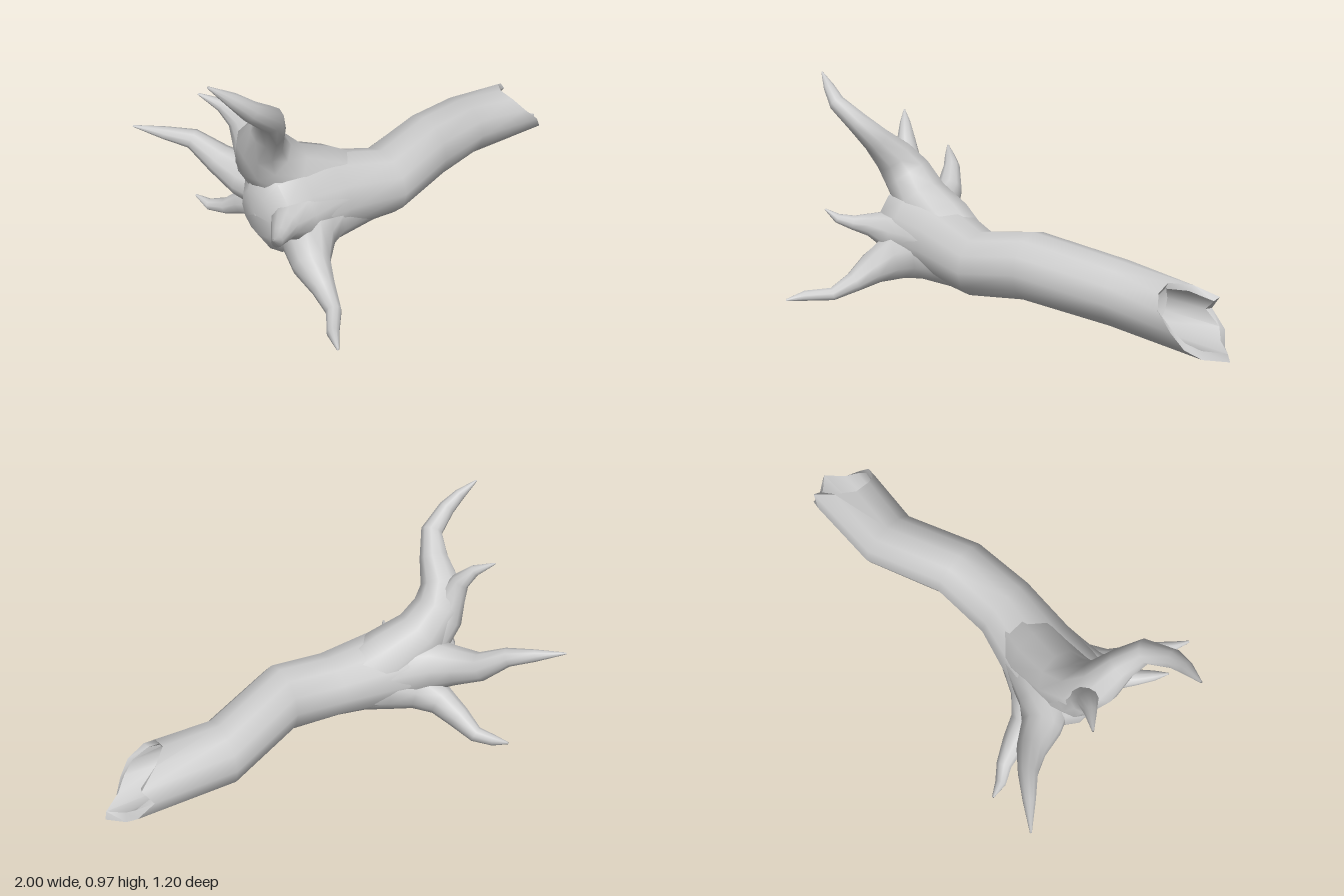
import * as THREE from 'three';
import { toCreasedNormals } from 'three/addons/utils/BufferGeometryUtils.js';

const material = new THREE.MeshStandardMaterial({ color: 0xcccccc, side: THREE.DoubleSide });

// Skin over a list of rings, each with the same number of points
function loft(rings) {
  const n = rings[0].length, index = [];
  for (let i = 0; i < rings.length - 1; i++) {
    for (let k = 0; k < n; k++) {
      const a = i * n + k, b = i * n + (k + 1) % n;
      index.push(a, b, a + n, b, b + n, a + n);
    }
  }
  const geometry = new THREE.BufferGeometry().setFromPoints(rings.flat());
  geometry.setIndex(index);
  geometry.computeVertexNormals();
  return geometry;
}

// Trunk cross-section: x (number or one per side), centre y and z, radii y and z
const SIDES = 12;
function section(x, cy, cz, ry, rz) {
  return Array.from({ length: SIDES }, (_, k) => {
    const a = (k / SIDES) * Math.PI * 2;
    return new THREE.Vector3(Array.isArray(x) ? x[k] : x, cy + ry * Math.cos(a), cz + rz * Math.sin(a));
  });
}

// Tapered root through points [x, y, z, radius], its frame carried along without twist
function rootGeometry(points, sides = 10) {
  const centres = points.map(p => new THREE.Vector3(p[0], p[1], p[2]));
  const u = new THREE.Vector3(0, 1, 0);
  const rings = points.map((p, i) => {
    const next = centres[Math.min(i + 1, centres.length - 1)];
    const t = next.clone().sub(centres[Math.max(i - 1, 0)]).normalize();
    u.addScaledVector(t, -t.dot(u)).normalize();
    const v = t.clone().cross(u);
    return Array.from({ length: sides }, (_, k) => {
      const a = (k / sides) * Math.PI * 2;
      return centres[i].clone()
        .addScaledVector(u, p[3] * Math.cos(a))
        .addScaledVector(v, p[3] * Math.sin(a));
    });
  });
  return loft(rings);
}

export function createModel() {
  const model = new THREE.Group();
  model.name = 'fallenTrunk';
  const add = (name, geometry) => {
    const mesh = new THREE.Mesh(geometry, material);
    mesh.name = name;
    model.add(mesh);
  };

  // Trunk: root face, bent length, splintered rim, then back inside the hollow
  const splinters = [0.72, 0.72, 0.75, 0.82, 0.87, 0.92, 1.0, 0.94, 0.91, 0.84, 0.88, 0.79];
  add('trunk', toCreasedNormals(loft([
    section(-0.75, 0.27, 0, 0.005, 0.005),
    section(-0.74, 0.27, 0, 0.1, 0.1),
    section(-0.69, 0.26, 0, 0.18, 0.16),
    section(-0.58, 0.25, 0, 0.195, 0.18),
    section(-0.42, 0.24, 0.01, 0.18, 0.185),
    section(-0.15, 0.205, 0.075, 0.145, 0.155),
    section(0.12, 0.25, 0.055, 0.15, 0.145),
    section(0.48, 0.18, -0.055, 0.14, 0.145),
    section(splinters, 0.165, -0.02, 0.13, 0.155),
    section(splinters.map(x => x - 0.01), 0.17, -0.015, 0.1, 0.125),
    section(0.66, 0.175, -0.025, 0.095, 0.11),
    section(0.6, 0.175, -0.03, 0.004, 0.004),
  ]), 0.9));

  // Roots: each leaves the trunk lengthwise, then bends outward to a thin tip
  const roots = {
    upperRoot: [[-0.2, 0.2, 0.05, 0.12], [-0.42, 0.29, 0, 0.15], [-0.58, 0.385, -0.03, 0.13],
      [-0.67, 0.5, -0.03, 0.115], [-0.71, 0.59, 0.015, 0.092],
      [-0.73, 0.68, 0.1, 0.066], [-0.77, 0.77, 0.175, 0.05], [-0.87, 0.85, 0.2, 0.038],
      [-0.93, 0.91, 0.185, 0.026], [-1, 0.97, 0.16, 0.004]],
    upperFork: [[-0.6, 0.38, -0.04, 0.12], [-0.68, 0.48, -0.065, 0.09], [-0.71, 0.57, -0.075, 0.06],
      [-0.73, 0.65, -0.095, 0.042], [-0.77, 0.71, -0.135, 0.026], [-0.83, 0.755, -0.195, 0.004]],
    backUpperRoot: [[-0.22, 0.21, 0.05, 0.11], [-0.45, 0.25, -0.04, 0.14], [-0.58, 0.28, -0.13, 0.12],
      [-0.64, 0.305, -0.23, 0.088], [-0.68, 0.35, -0.34, 0.064], [-0.74, 0.43, -0.43, 0.042],
      [-0.82, 0.455, -0.51, 0.027], [-0.91, 0.485, -0.6, 0.004]],
    backLowerRoot: [[-0.2, 0.19, 0.05, 0.11], [-0.4, 0.19, -0.03, 0.13], [-0.51, 0.17, -0.13, 0.1],
      [-0.56, 0.14, -0.23, 0.07], [-0.585, 0.1, -0.33, 0.054], [-0.615, 0.048, -0.42, 0.036],
      [-0.66, 0.042, -0.49, 0.025], [-0.68, 0.065, -0.56, 0.005]],
    frontLowerRoot: [[-0.22, 0.18, 0.08, 0.11], [-0.46, 0.185, 0.06, 0.13], [-0.6, 0.16, 0.12, 0.12],
      [-0.66, 0.11, 0.23, 0.078], [-0.685, 0.067, 0.33, 0.048], [-0.72, 0.034, 0.43, 0.03],
      [-0.8, 0.036, 0.52, 0.024], [-0.84, 0.03, 0.595, 0.005]],
    frontSmallRoot: [[-0.25, 0.23, 0.08, 0.11], [-0.5, 0.25, 0.06, 0.13], [-0.64, 0.26, 0.1, 0.105],
      [-0.73, 0.29, 0.165, 0.055], [-0.79, 0.3, 0.215, 0.034], [-0.84, 0.325, 0.265, 0.022],
      [-0.88, 0.37, 0.3, 0.004]],
  };
  for (const [name, points] of Object.entries(roots)) add(name, rootGeometry(points));

  return model;
}
